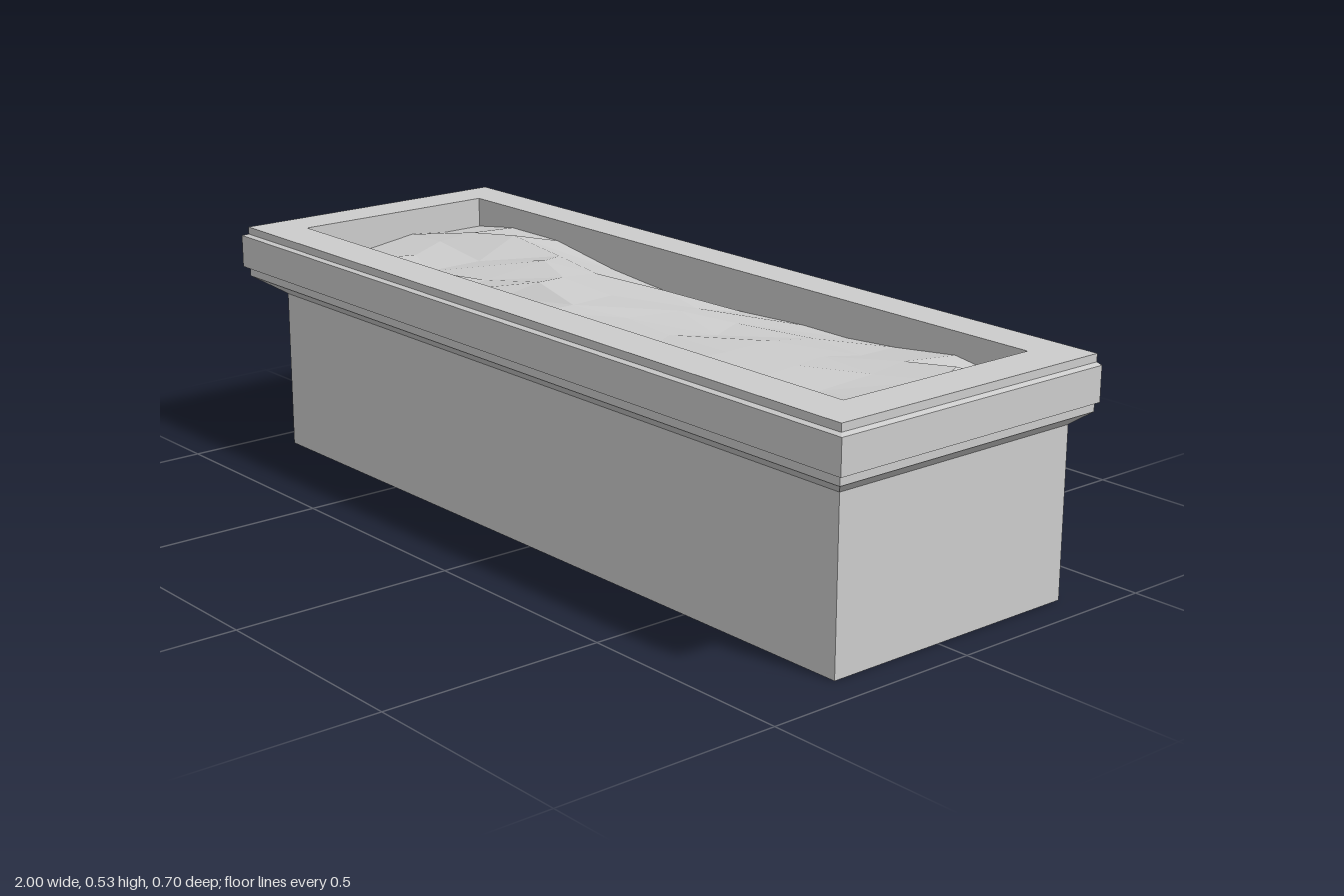
import * as THREE from 'three';

const BACK = -0.351;

// Stacked rectangular rings [halfWidth, frontZ, y, backZ] joined into flat-faced walls
function ringBody(rings) {
  const pos = [];
  const quad = (a, b, c, d) => pos.push(...a, ...b, ...c, ...a, ...c, ...d);
  const loops = rings.map(([x, f, y, b = BACK]) => [[-x, y, f], [x, y, f], [x, y, b], [-x, y, b]]);
  for (let r = 0; r < loops.length - 1; r++) {
    const lo = loops[r], hi = loops[r + 1];
    for (let i = 0; i < 4; i++) {
      const j = (i + 1) % 4;
      quad(lo[i], lo[j], hi[j], hi[i]);
    }
  }
  const [a, b, c, d] = loops[0];
  quad(a, d, c, b); // underside
  const g = new THREE.BufferGeometry();
  g.setAttribute('position', new THREE.Float32BufferAttribute(pos, 3));
  g.computeVertexNormals();
  return g;
}

// Uneven faceted fill: heights in hundredths, rows run back to front
function fillGeometry() {
  const xs = [-0.89, -0.73, -0.58, -0.4, -0.25, -0.08, 0.08, 0.24, 0.4, 0.56, 0.7, 0.83, 0.89];
  const zs = [-0.26, -0.13, -0.04, 0.08, 0.16, 0.24];
  const heights = [
    [46, 48, 48, 45, 44, 43, 44, 45, 45, 46, 48, 46, 44],
    [46, 50, 51, 49, 49, 48, 47, 47, 47, 48, 49, 50, 46],
    [47, 48, 47, 50, 49, 48, 48, 47, 48, 48, 49, 50, 47],
    [45, 47, 46, 47, 50, 49, 48, 48, 49, 49, 47, 48, 46],
    [45, 47, 48, 47, 47, 48, 48, 48, 48, 47, 46, 47, 45],
    [44, 46, 45, 45, 45, 46, 46, 45, 46, 45, 45, 45, 44],
  ];
  const nx = xs.length, nz = zs.length;
  const g = new THREE.PlaneGeometry(1, 1, nx - 1, nz - 1);
  const p = g.attributes.position;
  for (let j = 0; j < nz; j++) {
    for (let i = 0; i < nx; i++) {
      const innerX = i > 0 && i < nx - 1, innerZ = j > 0 && j < nz - 1;
      const dx = innerX ? 0.025 * Math.sin(i * 4.7 + j * 2.9) : 0;
      const dz = innerZ ? 0.025 * Math.sin(i * 2.3 + j * 5.1) : 0;
      p.setXYZ(j * nx + i, xs[i] + dx, heights[j][i] / 100, zs[j] + dz);
    }
  }
  const flat = g.toNonIndexed();
  flat.computeVertexNormals();
  return flat;
}

export function createModel() {
  const group = new THREE.Group();
  group.name = 'planter';
  const stone = new THREE.MeshStandardMaterial({ color: 0xcccccc });
  stone.name = 'light grey stone';

  // Trough with moulded rim on three sides, flat back and recessed top
  const trough = new THREE.Mesh(ringBody([
    [0.925, 0.278, 0],
    [0.925, 0.278, 0.371],
    [0.987, 0.34, 0.412],
    [0.987, 0.34, 0.43],
    [1, 0.351, 0.434],
    [1, 0.351, 0.509],
    [0.987, 0.34, 0.513],
    [0.987, 0.34, 0.53],
    [0.89, 0.24, 0.53, -0.26],
    [0.89, 0.24, 0.4, -0.26],
  ]), stone);
  trough.name = 'trough';

  const fill = new THREE.Mesh(fillGeometry(), stone);
  fill.name = 'unevenFill';

  group.add(trough, fill);
  return group;
}
